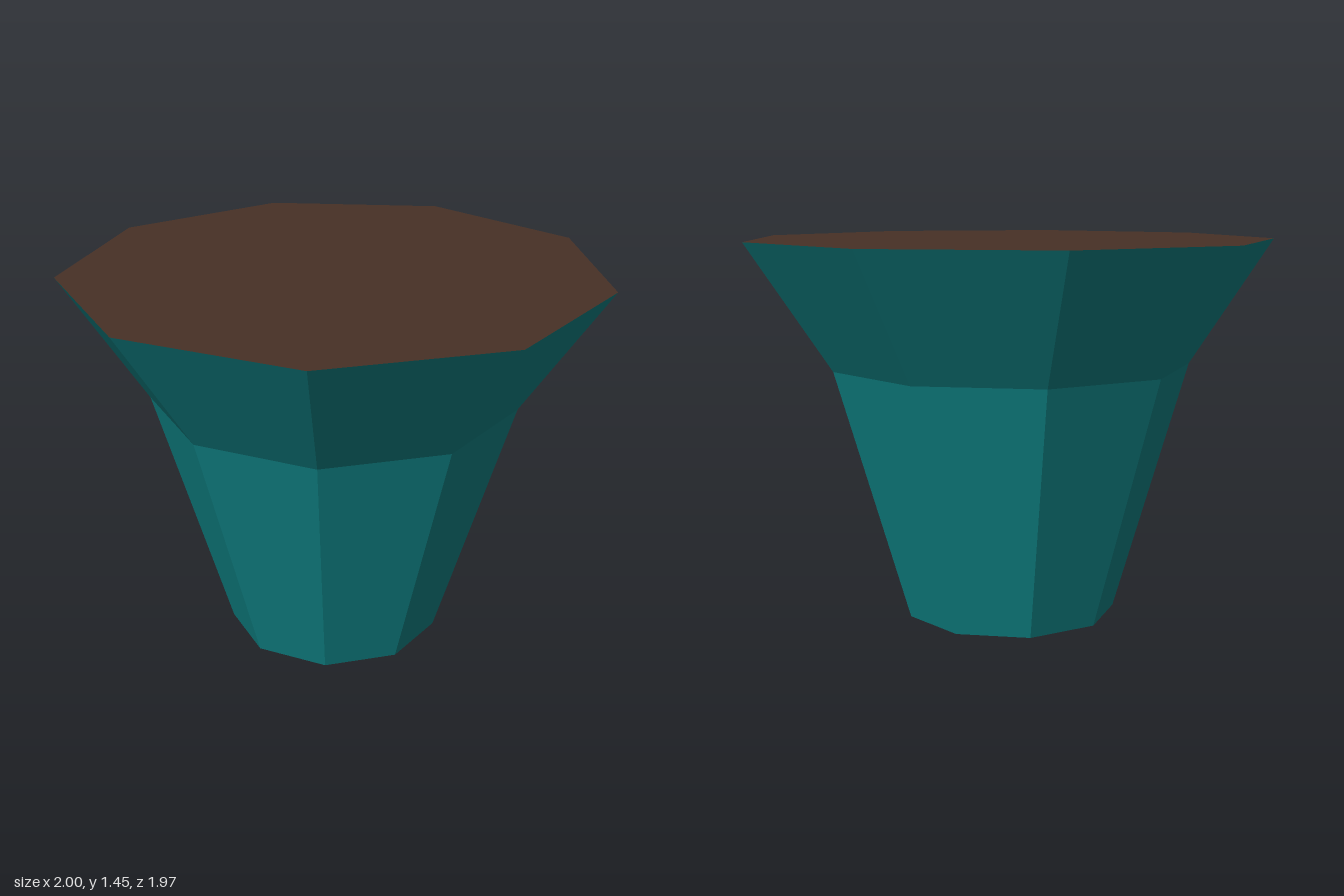
import * as THREE from 'three';

const SIDES = 9;
// a nonagon is not symmetric front to back: shift each ring to centre its depth
const SHIFT = (1 - Math.cos(Math.PI / SIDES)) / 2;

export function createModel() {
  const teal = new THREE.MeshStandardMaterial({ color: 0x0f8284, flatShading: true });
  teal.name = 'teal';
  const brown = new THREE.MeshStandardMaterial({ color: 0x483126, flatShading: true });
  brown.name = 'soil brown';

  const model = new THREE.Group();
  model.name = 'planter';

  const add = (geometry, material, name) => {
    const mesh = new THREE.Mesh(geometry, material);
    mesh.name = name;
    model.add(mesh);
  };

  // open faceted wall between two rings, with a corner at the back
  const wall = (y0, r0, y1, r1) => {
    const g = new THREE.CylinderGeometry(r1, r0, y1 - y0, SIDES, 1, true, Math.PI).toNonIndexed();
    const p = g.attributes.position;
    for (let i = 0; i < p.count; i++) {
      p.setZ(i, p.getZ(i) + SHIFT * (p.getY(i) > 0 ? r1 : r0));
    }
    g.translate(0, (y0 + y1) / 2, 0);
    g.computeVertexNormals();
    return g;
  };

  // flat nine-sided cap, facing up or down
  const cap = (y, r, up) => {
    const g = new THREE.CircleGeometry(r, SIDES, Math.PI / 2);
    if (!up) g.rotateZ(Math.PI / SIDES);
    g.rotateX(up ? -Math.PI / 2 : Math.PI / 2);
    return g.translate(0, y, SHIFT * r);
  };

  const base = 0.41, waist = 0.696, rim = 1 / Math.cos(Math.PI / 18);
  add(wall(0, base, 0.97, waist), teal, 'body');
  add(wall(0.97, waist, 1.45, rim), teal, 'flaredRim');
  add(cap(0, base, false), teal, 'bottom');
  add(cap(1.45, rim, true), brown, 'soil');
  return model;
}
